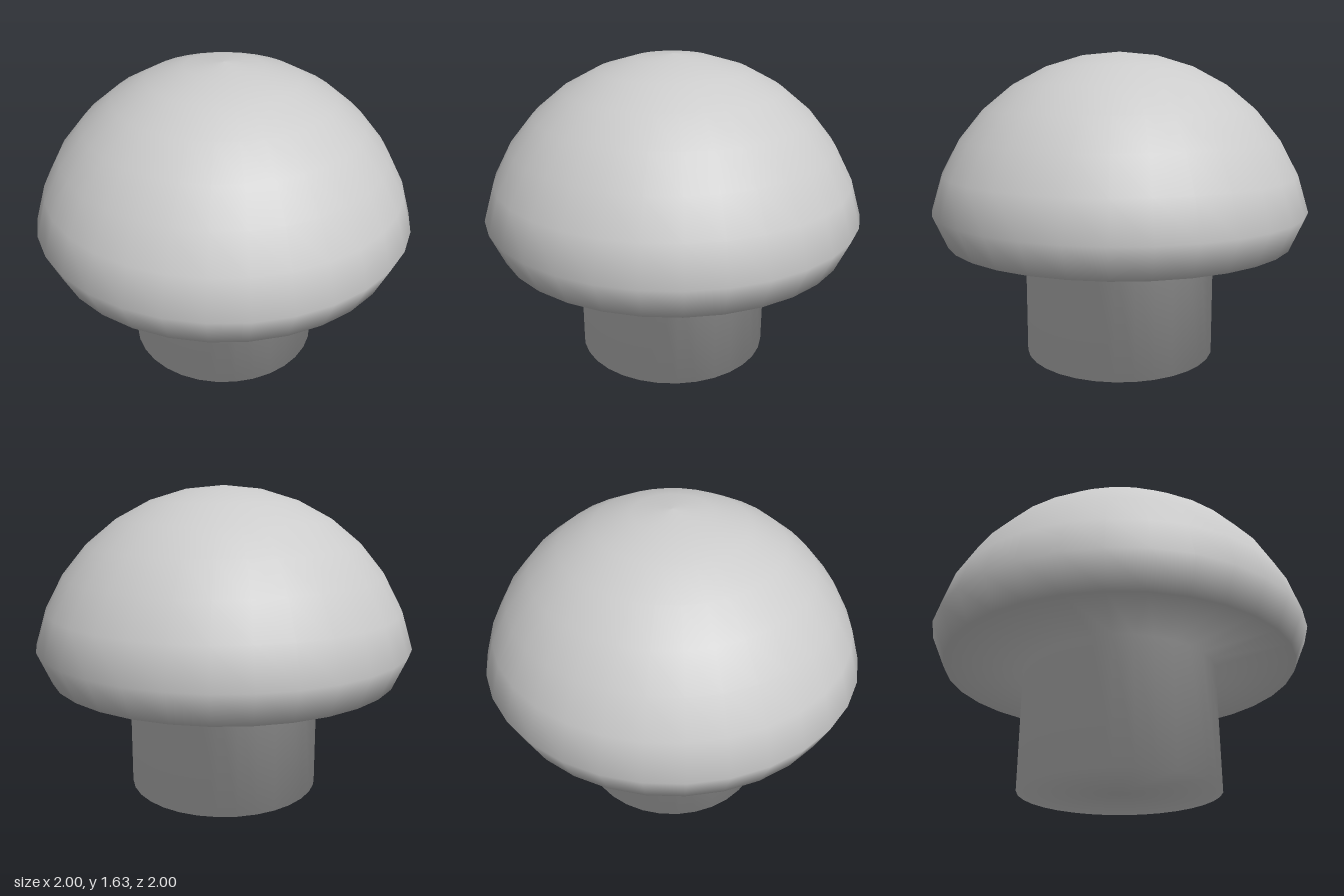
import * as THREE from 'three';

const SEGMENTS = 32;

export function createModel() {
  const group = new THREE.Group();
  group.name = 'mushroom';

  // Stem from the base centre upwards, then the flat underside of the cap
  const profile = [[0, 0], [0.515, 0], [0.515, 0.638], [0.927, 0.638]]
    .map(([r, y]) => new THREE.Vector2(r, y));

  // Spherical dome, from the widest ring up to the crown
  const radius = 1.02, centreY = 0.607;
  for (let ring = 7; ring >= 0; ring--) {
    const a = (ring * Math.PI) / 16;
    profile.push(new THREE.Vector2(radius * Math.sin(a), centreY + radius * Math.cos(a)));
  }

  // One continuous surface, so the shading flows smoothly over every ring
  const body = new THREE.Mesh(
    new THREE.LatheGeometry(profile, SEGMENTS),
    new THREE.MeshStandardMaterial({ color: 0xcccccc })
  );
  body.name = 'capAndStem';
  group.add(body);
  return group;
}
